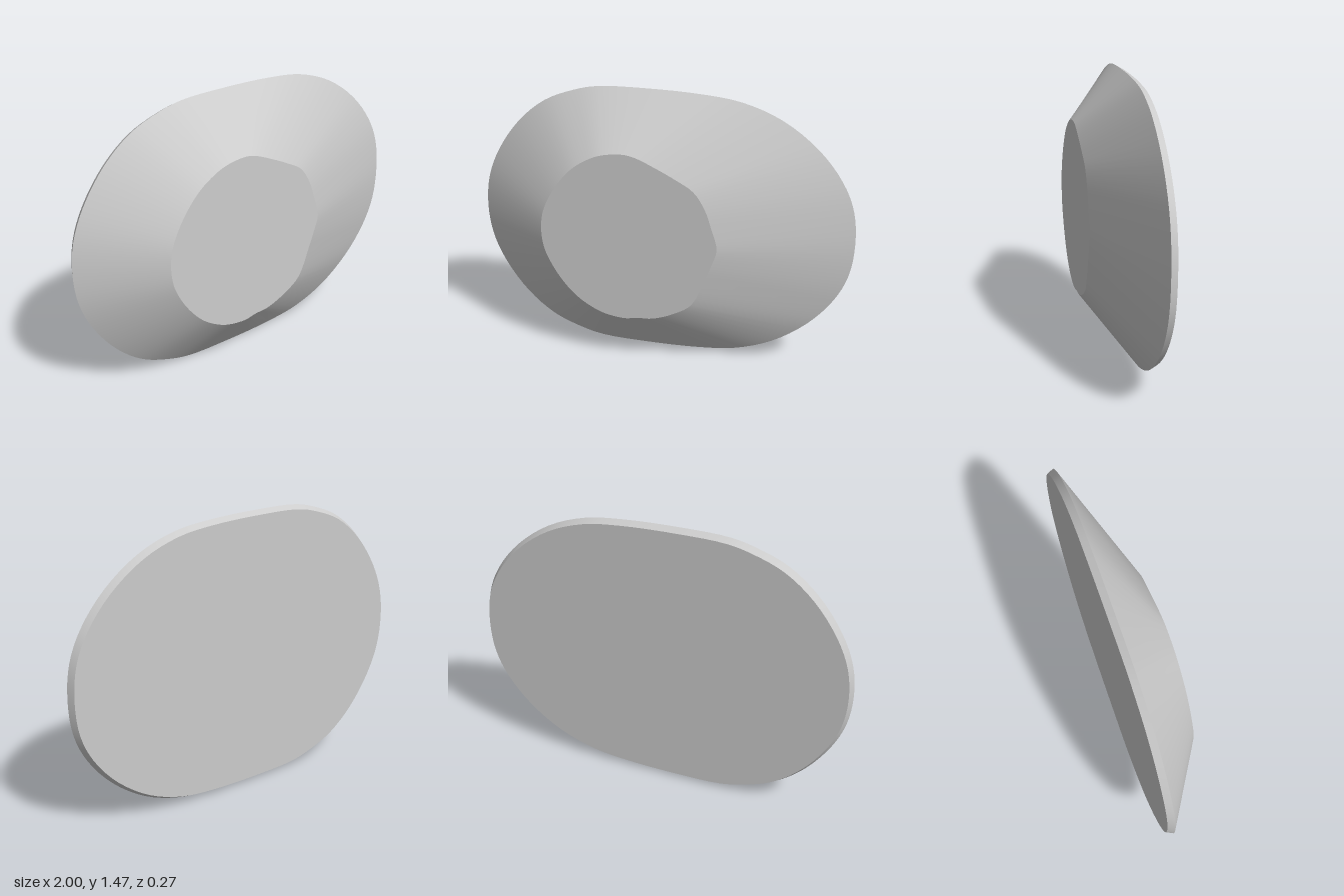
import * as THREE from 'three';

const MID = 0.73; // height of the centre line
const STEPS = 4;  // spline samples per control point

// Paired control points, from the +x tip over the top to the -x tip
const rimHalf = [[1, 0.73], [0.98, 0.91], [0.915, 1.06], [0.785, 1.22], [0.6, 1.355], [0.4, 1.43],
  [0.2, 1.456], [-0.1, 1.465], [-0.35, 1.457], [-0.48, 1.427], [-0.64, 1.36], [-0.79, 1.235],
  [-0.915, 1.06], [-0.98, 0.9], [-1, 0.73]];
const faceHalf = [[0.335, 0.73], [0.305, 0.84], [0.27, 0.94], [0.21, 1.03], [0.12, 1.085], [0.02, 1.135],
  [-0.085, 1.18], [-0.15, 1.192], [-0.26, 1.178], [-0.33, 1.15], [-0.42, 1.09], [-0.5, 1.0],
  [-0.56, 0.9], [-0.59, 0.82], [-0.6, 0.73]];
// The lower right of the front face is slightly fuller than the upper right
const faceLowerRight = [[0.31, 0.64], [0.28, 0.56], [0.21, 0.4], [0.12, 0.335], [0, 0.287]];

// Closed smooth loop from the upper half and its reflection
function closedLoop(half, lowerOverride = []) {
  const lower = half.slice(1, -1).map(([x, y], i) => lowerOverride[i] ?? [x, 2 * MID - y]).reverse();
  const points = [...half, ...lower].map(([x, y]) => new THREE.Vector3(x, y, 0));
  const curve = new THREE.CatmullRomCurve3(points, true);
  const count = points.length * STEPS;
  return Array.from({ length: count }, (_, i) => curve.getPoint(i / count));
}

const placeLoop = (loop, z, scaleX = 1, scaleY = 1) =>
  loop.map(p => new THREE.Vector3(p.x * scaleX, MID + (p.y - MID) * scaleY, z));

// Smooth wall from a rear loop to a front loop
function band(rear, front) {
  const n = rear.length;
  const index = [];
  for (let i = 0; i < n; i++) {
    const j = (i + 1) % n;
    index.push(i, j, n + j, i, n + j, n + i);
  }
  const geometry = new THREE.BufferGeometry().setFromPoints([...rear, ...front]);
  geometry.setIndex(index);
  geometry.computeVertexNormals();
  return geometry;
}

// Flat cap filling a loop, facing +z or -z
function cap(loop, facesBack) {
  const geometry = new THREE.ShapeGeometry(new THREE.Shape(loop.map(p => new THREE.Vector2(p.x, p.y))));
  if (facesBack) {
    geometry.scale(-1, 1, 1).rotateY(Math.PI);
    const index = geometry.index;
    for (let i = 0; i < index.count; i += 3) {
      const a = index.getX(i);
      index.setX(i, index.getX(i + 2));
      index.setX(i + 2, a);
    }
    geometry.computeVertexNormals();
  }
  return geometry.translate(0, 0, loop[0].z);
}

export function createModel() {
  const model = new THREE.Group();
  const grey = new THREE.MeshStandardMaterial({ color: 0xcccccc });
  grey.name = 'light grey';

  const outline = closedLoop(rimHalf);
  const back = placeLoop(outline, -0.137, 0.983, 0.974);
  const rim = placeLoop(outline, -0.102);
  const front = placeLoop(closedLoop(faceHalf, faceLowerRight), 0.137);

  const add = (name, geometry) => {
    const mesh = new THREE.Mesh(geometry, grey);
    mesh.name = name;
    model.add(mesh);
  };
  add('backPlate', cap(back, true));
  add('rimBevel', band(back, rim));
  add('slopedWall', band(rim, front));
  add('frontFace', cap(front, false));
  return model;
}
